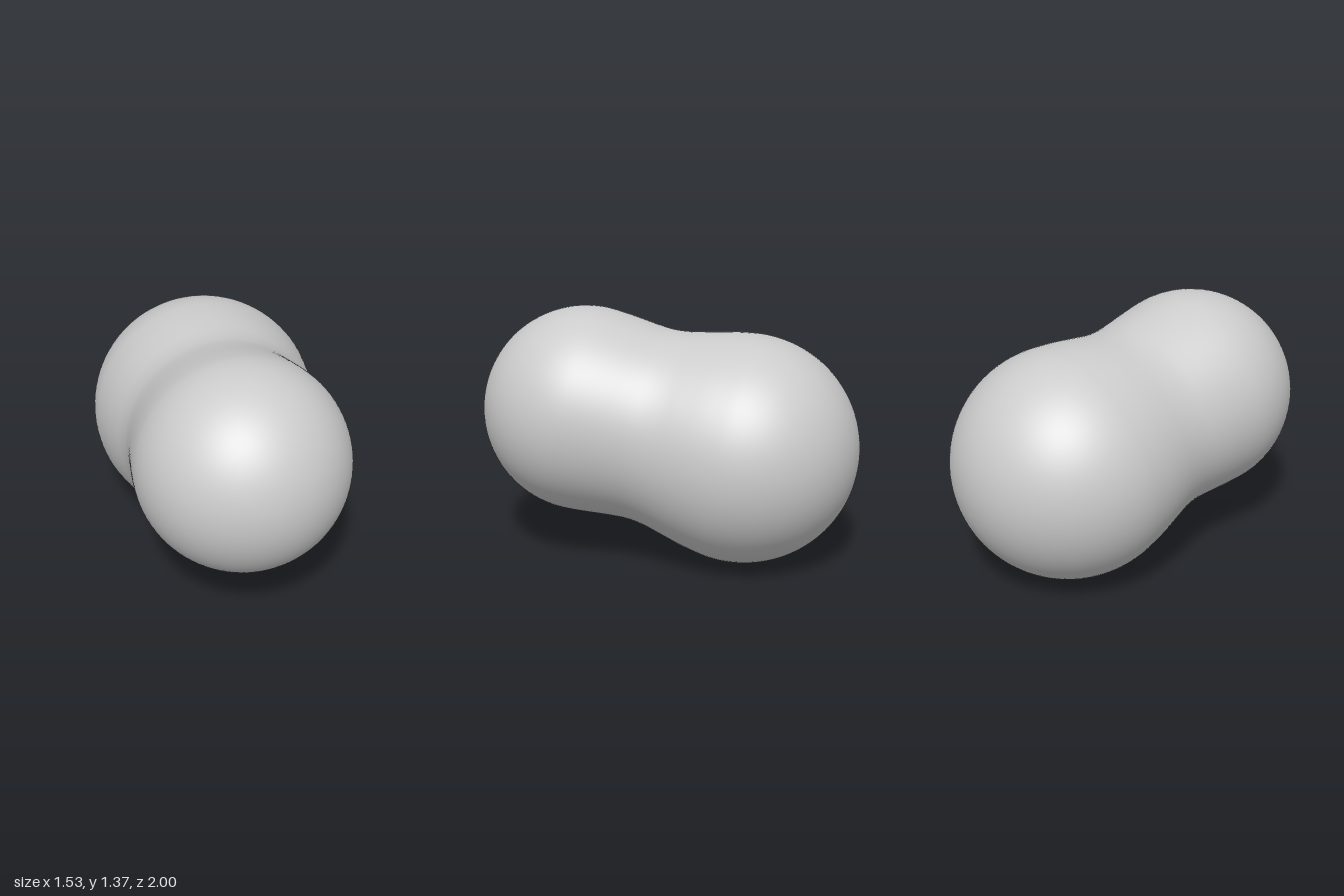
import * as THREE from 'three';

// Two smoothly blended spheres, turned as one profile around their shared axis.
export function createModel() {
  const group = new THREE.Group();
  group.name = 'blendedSpheres';

  const back = new THREE.Vector3(0.14, 0.627, -0.375);
  const front = new THREE.Vector3(-0.203, 0.803, 0.432);
  const backRadius = 0.625, frontRadius = 0.566;
  const axis = front.clone().sub(back);
  const length = axis.length();

  // Points of a sphere's outline between two angles, measured from the back pole
  const arc = (centre, radius, from, to, steps) =>
    Array.from({ length: steps + 1 }, (_, i) => {
      const a = from + (to - from) * i / steps;
      return new THREE.Vector2(Math.sin(a) * radius, centre - Math.cos(a) * radius);
    });

  // Soft waist between the two spheres: [distance along axis, radius]
  const waist = [[0.2, 0.599], [0.32, 0.57], [0.42, 0.546], [0.52, 0.535],
    [0.62, 0.541], [0.72, 0.552], [0.82, 0.562]]
    .map(([y, r]) => new THREE.Vector2(r, y));

  const outline = new THREE.SplineCurve([
    ...arc(0, backRadius, 0, Math.PI / 2 + 0.13, 16),
    ...waist,
    ...arc(length, frontRadius, Math.PI / 2 + 0.02, Math.PI, 14),
  ]);
  const profile = outline.getPoints(140);
  profile.forEach((p) => { p.x = Math.max(p.x, 0); });
  profile[0].x = profile[profile.length - 1].x = 0;

  const body = new THREE.Mesh(
    new THREE.LatheGeometry(profile, 96),
    new THREE.MeshStandardMaterial({ color: 0xcccccc }),
  );
  body.name = 'body';
  body.position.copy(back);
  body.quaternion.setFromUnitVectors(new THREE.Vector3(0, 1, 0), axis.normalize());
  group.add(body);

  return group;
}
